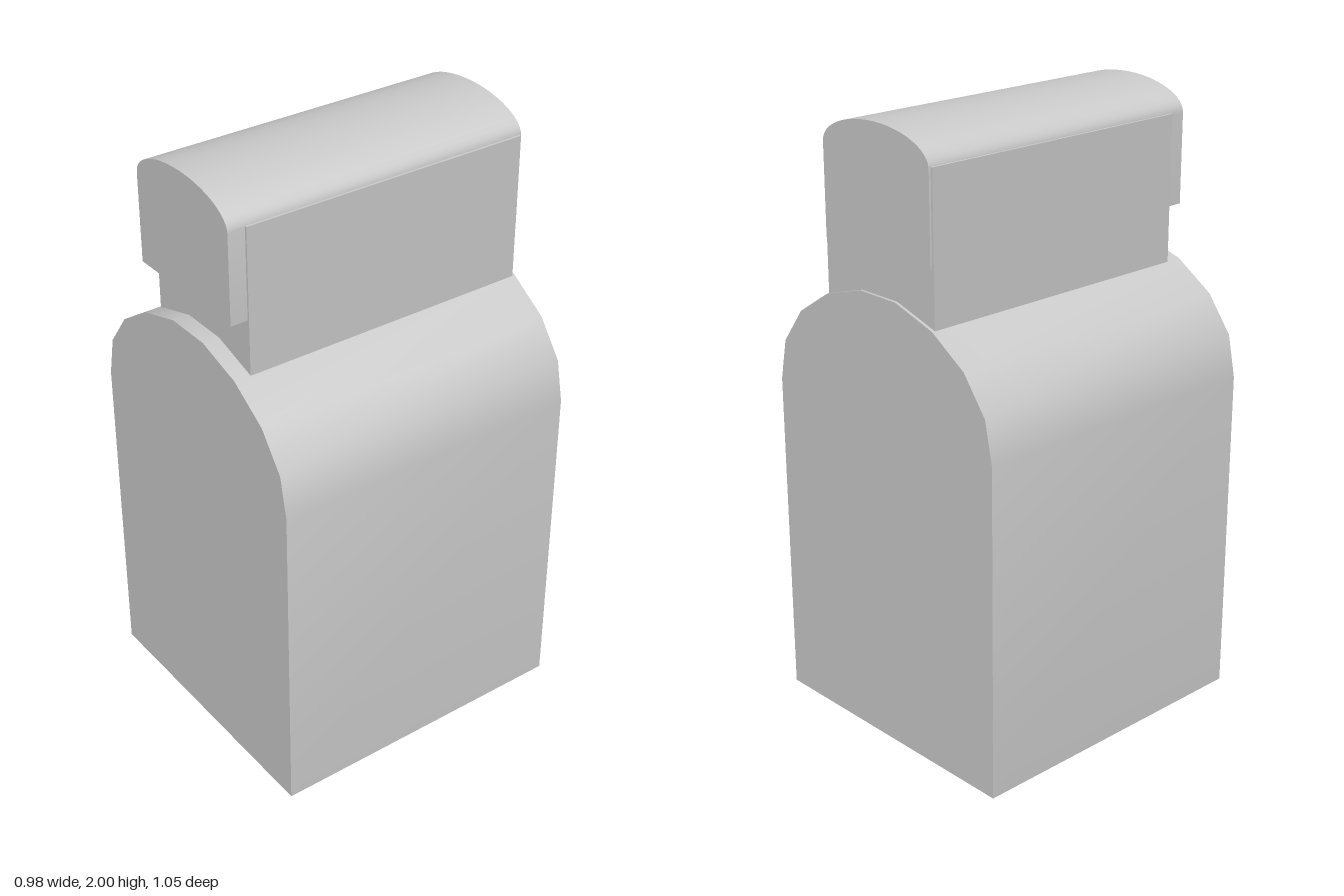
import * as THREE from 'three';
import { toCreasedNormals } from 'three/addons/utils/BufferGeometryUtils.js';

const material = new THREE.MeshStandardMaterial({ color: 0xcccccc });

// Mirror the right half of an outline (bottom to top) and extrude it from zBack to zFront
function prism(name, half, zBack, zFront) {
  const mirrored = half.filter(([x]) => x > 0).reverse().map(([x, y]) => [-x, y]);
  const shape = new THREE.Shape([...half, ...mirrored].map(([x, y]) => new THREE.Vector2(x, y)));
  const geometry = new THREE.ExtrudeGeometry(shape, { depth: zFront - zBack, bevelEnabled: false });
  geometry.translate(0, 0, zBack);
  const mesh = new THREE.Mesh(toCreasedNormals(geometry, 0.7), material);
  mesh.name = name;
  return mesh;
}

export function createModel() {
  const model = new THREE.Group();
  model.name = 'archedBlock';

  // Tall body with a faceted arch on top
  model.add(prism('body', [
    [0.49, 0], [0.49, 1.095], [0.462, 1.23], [0.375, 1.347], [0.24, 1.435], [0.08, 1.483],
  ], -0.525, 0.525));

  // Box rising out of the arch, set back at the front
  const neck = new THREE.Mesh(new THREE.BoxGeometry(0.484, 0.48, 0.985), material);
  neck.name = 'neck';
  neck.position.set(0, 1.67, -0.0225);
  model.add(neck);

  // Rounded cap overhanging the front of the neck
  const cap = [[0.235, 1.613]];
  const steps = 12;
  for (let i = 0; i <= steps; i++) {
    const a = (i / steps) * Math.PI / 2;
    cap.push([i === steps ? 0 : 0.235 * Math.cos(a), 1.905 + 0.095 * Math.sin(a)]);
  }
  model.add(prism('cap', cap, -0.522, 0.527));

  return model;
}
